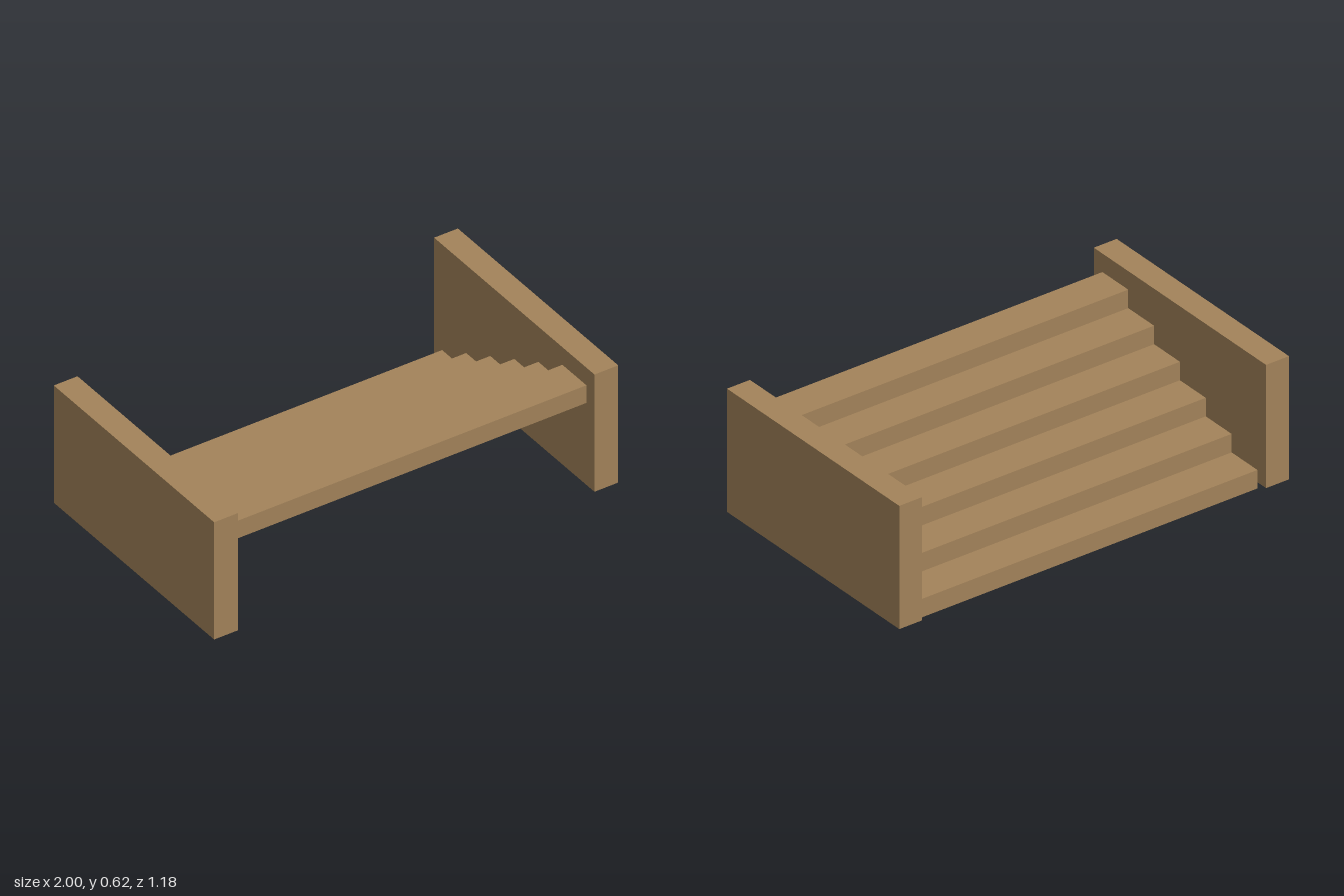
import * as THREE from 'three';

const U = 1 / 17; // base module: panel thickness is 2U, overall width 34U

export function createModel() {
  const group = new THREE.Group();
  group.name = 'staircase';
  const wood = new THREE.MeshStandardMaterial({ color: 0xa3835a });
  wood.name = 'wood';

  const addBox = (name, size, pos) => {
    const mesh = new THREE.Mesh(new THREE.BoxGeometry(...size.map((v) => v * U)), wood);
    mesh.position.set(...pos.map((v) => v * U));
    mesh.name = name;
    group.add(mesh);
  };

  // side panels, raised slightly above the lowest step's underside
  for (const [name, side] of [['leftPanel', 1], ['rightPanel', -1]]) {
    addBox(name, [2, 10, 20], [side * 16, 5.5, 0]);
  }

  // six solid treads climbing from the back to the front
  for (let i = 0; i < 6; i++) {
    addBox(`step${i + 1}`, [30, 1.5, 3], [0, 0.75 + 1.5 * i, -7.5 + 3 * i]);
  }
  return group;
}
